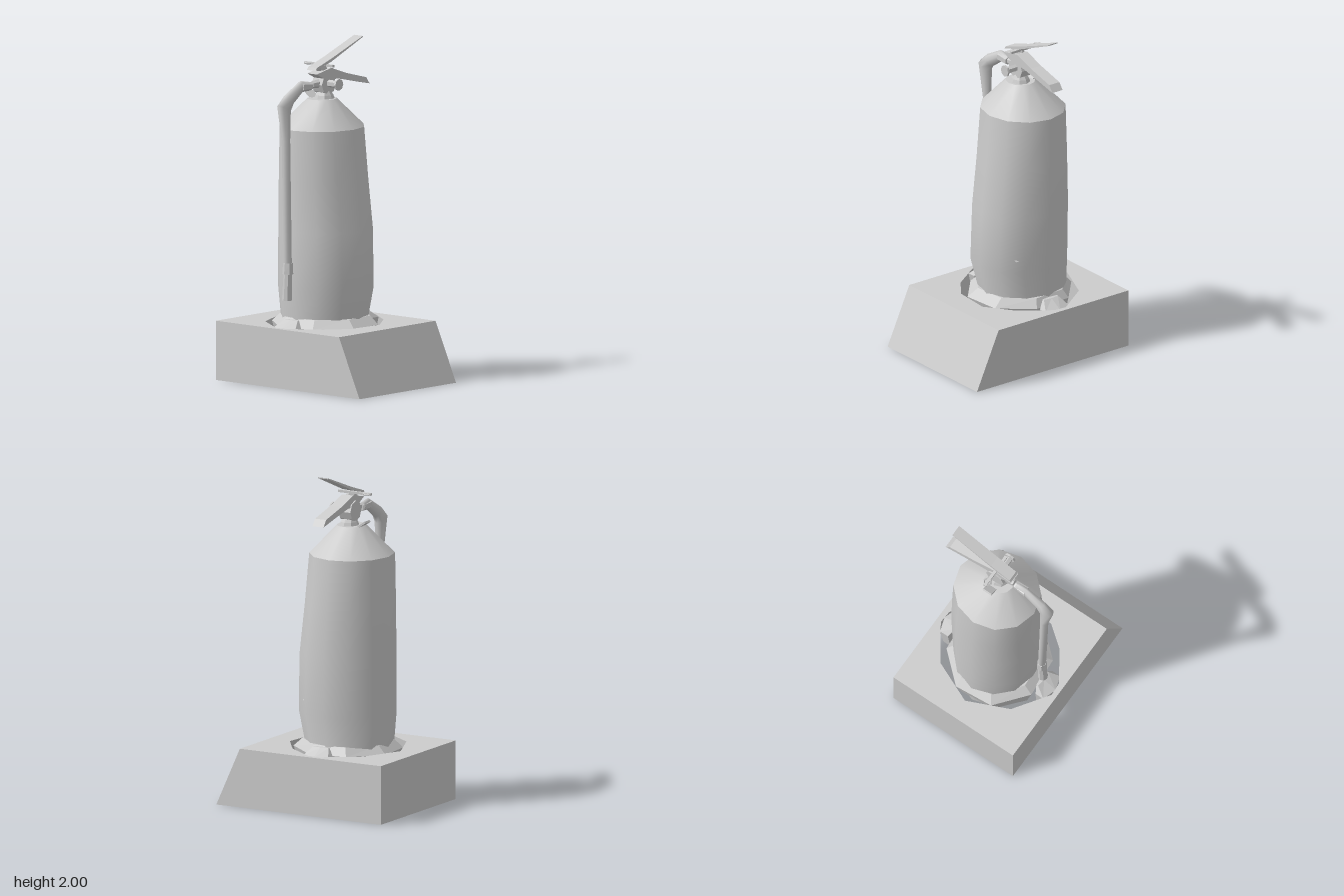
import * as THREE from 'three';

const gray = new THREE.MeshStandardMaterial({ color: 0xcccccc, side: THREE.DoubleSide });
gray.name = 'plain gray';
const Z = -0.09; // depth of the bottle's axis

function part(parent, name, geometry, flat = true) {
  let g = geometry;
  if (flat) {
    if (g.index) g = g.toNonIndexed();
    g.computeVertexNormals();
  }
  const mesh = new THREE.Mesh(g, gray);
  mesh.name = name;
  parent.add(mesh);
  return mesh;
}

// Skin over elliptical rings [x, y, z, ru, rz, angle]; angle is the path direction in the xy plane
function loft(rings, sides, turn = 0) {
  const pos = [], idx = [];
  const addRing = ([x, y, z, ru, rz, deg = 90]) => {
    const th = THREE.MathUtils.degToRad(deg), start = pos.length / 3;
    for (let i = 0; i < sides; i++) {
      const a = (i + turn) / sides * Math.PI * 2, u = ru * Math.cos(a);
      pos.push(x + u * Math.sin(th), y - u * Math.cos(th), z + rz * Math.sin(a));
    }
    return start;
  };
  const starts = rings.map(addRing);
  for (let j = 0; j + 1 < rings.length; j++) {
    for (let i = 0; i < sides; i++) {
      const k = (i + 1) % sides, s = starts[j], t = starts[j + 1];
      idx.push(s + i, t + i, s + k, s + k, t + i, t + k);
    }
  }
  // End caps with their own vertices keep a hard edge
  [rings[0], rings[rings.length - 1]].forEach((r, end) => {
    const s = addRing(r), c = pos.length / 3;
    pos.push(r[0], r[1], r[2]);
    for (let i = 0; i < sides; i++) {
      const k = (i + 1) % sides;
      idx.push(c, s + (end ? k : i), s + (end ? i : k));
    }
  });
  const g = new THREE.BufferGeometry();
  g.setAttribute('position', new THREE.Float32BufferAttribute(pos, 3));
  g.setIndex(idx);
  g.computeVertexNormals();
  return g;
}

// Flat polygon in the xy plane, given thickness along z and centred on depth z
function slab(points, width, z) {
  const shape = new THREE.Shape(points.map(([x, y]) => new THREE.Vector2(x, y)));
  const g = new THREE.ExtrudeGeometry(shape, { depth: width, bevelEnabled: false });
  return g.translate(0, 0, z - width / 2);
}

function buildBase() {
  const base = new THREE.Group();
  base.name = 'base';
  const W = 0.425, H = 0.35, back = -0.56, topFront = 0.4, foot = 0.56;

  // Top plate with a faceted opening; shape y becomes -z
  const top = new THREE.Shape([[-W, -topFront], [W, -topFront], [W, -back], [-W, -back]]
    .map(([x, y]) => new THREE.Vector2(x, y)));
  const opening = [[0, -0.44], [0.25, -0.33], [0.395, -0.12], [0.39, -0.04], [0.26, 0.14], [0.09, 0.26],
    [-0.14, 0.24], [-0.27, 0.14], [-0.39, -0.04], [-0.395, -0.12], [-0.25, -0.33]];
  top.holes.push(new THREE.Path(opening.map(([x, z]) => new THREE.Vector2(x, -z))));
  part(base, 'topPlate', new THREE.ShapeGeometry(top).rotateX(-Math.PI / 2).translate(0, H, 0));

  // Open-bottomed walls, with a sloping front
  const low = [[-W, foot], [W, foot], [W, back], [-W, back]];
  const high = [[-W, topFront], [W, topFront], [W, back], [-W, back]];
  ['frontWall', 'leftWall', 'backWall', 'rightWall'].forEach((name, i) => {
    const k = (i + 1) % 4, g = new THREE.BufferGeometry();
    const [a, b] = [low[i], low[k]].map(([x, z]) => [x, 0, z]);
    const [d, c] = [high[i], high[k]].map(([x, z]) => [x, H, z]);
    g.setAttribute('position', new THREE.Float32BufferAttribute([a, b, c, a, c, d].flat(), 3));
    part(base, name, g);
  });
  return base;
}

function buildBottle() {
  const bottle = new THREE.Group();
  bottle.name = 'bottle';
  // Leaning tank with a sloped shoulder
  part(bottle, 'tank', loft([
    [0.01, 0.15, -0.1, 0.25, 0.25],
    [0.01, 0.35, -0.1, 0.25, 0.26],
    [0.0, 0.56, -0.08, 0.275, 0.29],
    [0.005, 0.9, -0.085, 0.277, 0.285],
    [0.003, 1.2, -0.1, 0.27, 0.265],
    [0.0, 1.5, -0.11, 0.262, 0.247],
  ], 12), false);
  part(bottle, 'shoulder', loft([
    [0.0, 1.5, -0.11, 0.262, 0.247],
    [-0.01, 1.665, -0.1, 0.09, 0.085],
  ], 12), false);

  // Flared foot ring and the clamps at either side
  part(bottle, 'footRing', loft([
    [0, 0.16, Z, 0.27, 0.27],
    [0, 0.34, -0.085, 0.31, 0.325],
    [0.01, 0.39, -0.09, 0.265, 0.27],
  ], 8, 0.4));
  for (const s of [-1, 1]) {
    part(bottle, s > 0 ? 'leftClamp' : 'rightClamp', loft([
      [s * 0.33, 0.15, Z, 0.05, 0.07],
      [s * 0.34, 0.34, -0.08, 0.055, 0.1],
      [s * 0.3, 0.39, -0.08, 0.012, 0.06],
    ], 6));
  }

  // Small loose chip on the front of the tank
  const chip = new THREE.BufferGeometry();
  chip.setAttribute('position', new THREE.Float32BufferAttribute(
    [0.17, 0.657, 0.125, 0.21, 0.63, 0.1, 0.242, 0.657, 0.05], 3));
  part(bottle, 'chip', chip);
  return bottle;
}

function buildValve() {
  const valve = new THREE.Group();
  valve.name = 'valve';
  part(valve, 'collar', loft([[0, 1.66, Z, 0.065, 0.06], [0, 1.685, Z, 0.055, 0.05],
    [0, 1.72, Z, 0.03, 0.03]], 8));
  // Faceted valve body facing the front, with its gauge
  const body = new THREE.CylinderGeometry(0.062, 0.062, 0.08, 8).rotateX(Math.PI / 2);
  part(valve, 'valveBody', body.translate(0, 1.75, -0.095));
  const stem = new THREE.CylinderGeometry(0.022, 0.022, 0.08, 6).rotateX(Math.PI / 2);
  part(valve, 'gaugeStem', stem.translate(0, 1.755, -0.02));
  const dial = new THREE.CylinderGeometry(0.035, 0.035, 0.012, 8).rotateX(Math.PI / 2);
  part(valve, 'gauge', dial.translate(0, 1.755, 0.02));
  part(valve, 'valveTop', loft([[0, 1.79, -0.095, 0.04, 0.035], [-0.03, 1.86, -0.095, 0.04, 0.03]], 6));

  // Safety pin through the levers, and its tab behind
  part(valve, 'pin', new THREE.BoxGeometry(0.018, 0.014, 0.22).translate(0, 1.86, -0.13));
  part(valve, 'pinRing', new THREE.TorusGeometry(0.022, 0.006, 4, 6)
    .rotateX(Math.PI / 2).translate(0, 1.86, -0.21));
  part(valve, 'rearTab', new THREE.BoxGeometry(0.06, 0.012, 0.07)
    .rotateX(0.6).translate(0, 1.675, -0.185));

  // Squeeze lever above, carrying handle below
  part(valve, 'lever', slab([[-0.11, 1.84], [0.03, 1.88], [0.305, 1.994], [0.305, 2.0],
    [0.03, 1.898], [-0.1, 1.856]], 0.068, -0.095));
  part(valve, 'handle', slab([[-0.11, 1.82], [-0.03, 1.78], [0.08, 1.775], [0.2, 1.75], [0.355, 1.715],
    [0.325, 1.755], [0.15, 1.8], [0.02, 1.845]], 0.075, -0.09));
  return valve;
}

function buildHose() {
  const hose = new THREE.Group();
  hose.name = 'hose';
  // Hose rises beside the tank and bends over to the valve
  part(hose, 'hoseTube', loft([
    [-0.312, 0.7, -0.1, 0.023, 0.025, 92],
    [-0.328, 1.45, -0.1, 0.025, 0.025, 93],
    [-0.345, 1.64, -0.1, 0.05, 0.035, 65],
    [-0.3, 1.69, -0.1, 0.04, 0.03, 38],
    [-0.19, 1.757, -0.1, 0.033, 0.022, 15],
    [-0.13, 1.75, -0.1, 0.025, 0.022, 0],
  ], 8), false);
  part(hose, 'hoseFitting', loft([[-0.2, 1.752, -0.1, 0.032, 0.03, 0],
    [-0.12, 1.748, -0.095, 0.025, 0.025, 0]], 6));
  part(hose, 'valveOutlet', loft([[-0.11, 1.755, -0.095, 0.02, 0.02, 0],
    [-0.04, 1.755, -0.095, 0.028, 0.025, 0]], 6));

  // Nozzle hanging at the lower end
  part(hose, 'nozzle', loft([[-0.318, 0.505, -0.1, 0.03, 0.03], [-0.312, 0.67, -0.1, 0.024, 0.025]], 8));
  part(hose, 'nozzleCollar', loft([[-0.312, 0.66, -0.1, 0.033, 0.033],
    [-0.31, 0.725, -0.1, 0.028, 0.03]], 6));
  return hose;
}

export function createModel() {
  const model = new THREE.Group();
  model.name = 'fireExtinguisherOnStand';
  model.add(buildBase(), buildBottle(), buildValve(), buildHose());
  return model;
}
